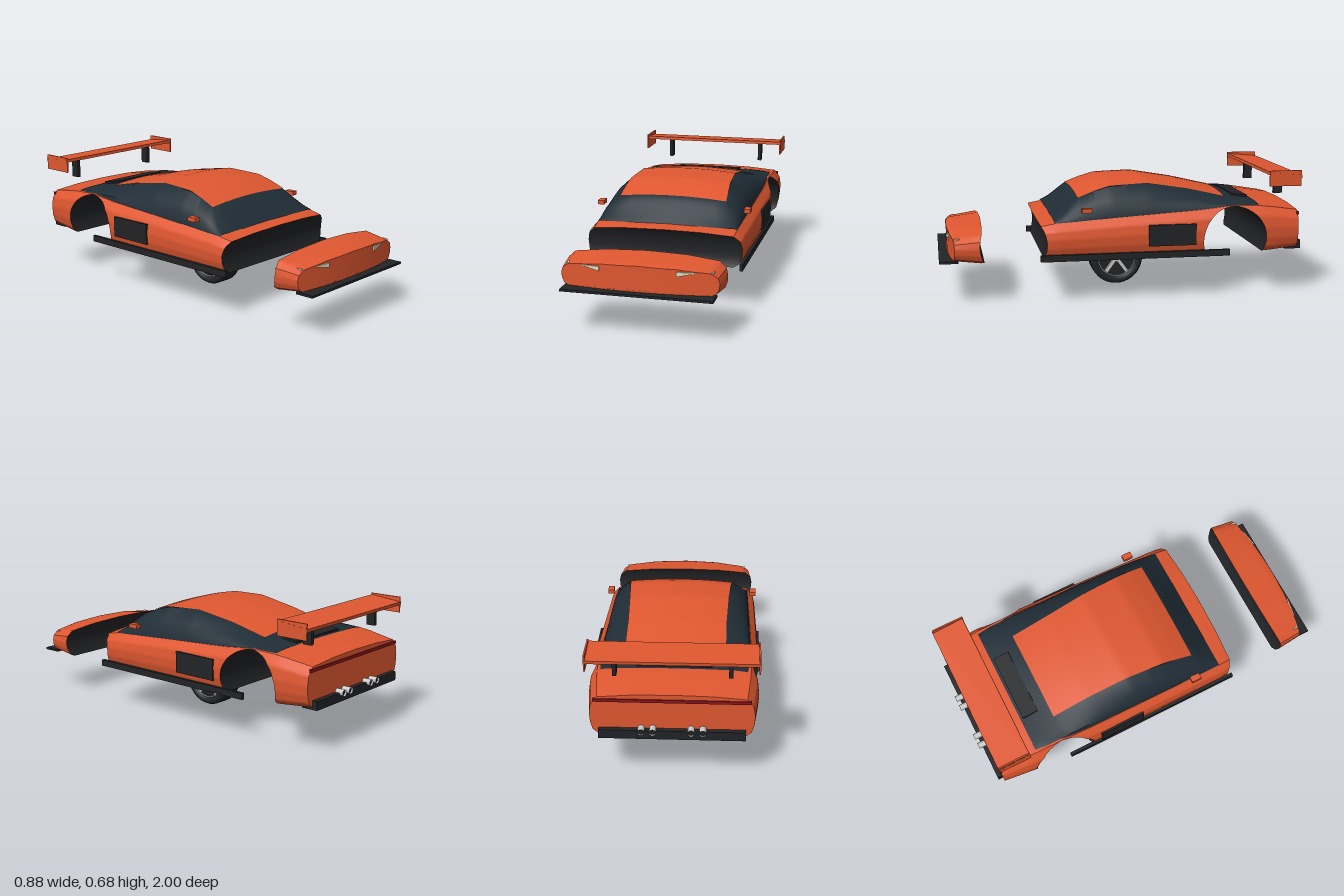
import * as THREE from 'three';
import { toCreasedNormals } from 'three/addons/utils/BufferGeometryUtils.js';

const mat = (color) => new THREE.MeshStandardMaterial({ color, side: THREE.DoubleSide });

// Linear lookup in rows of [z, ...values], ordered by falling z
function sample(rows, z) {
  let i = 0;
  while (i < rows.length - 2 && z < rows[i + 1][0]) i++;
  const a = rows[i], b = rows[i + 1];
  const t = THREE.MathUtils.clamp((z - a[0]) / (b[0] - a[0]), 0, 1);
  return a.slice(1).map((v, k) => v + (b[k + 1] - v) * t);
}

// Surface through a grid of points f(i, j)
function gridSurface(ni, nj, f, crease = 0.6) {
  const pos = [], idx = [];
  for (let i = 0; i <= ni; i++) for (let j = 0; j <= nj; j++) pos.push(...f(i, j));
  for (let i = 0; i < ni; i++) for (let j = 0; j < nj; j++) {
    const a = i * (nj + 1) + j, b = a + nj + 1;
    idx.push(a, b, a + 1, b, b + 1, a + 1);
  }
  const g = new THREE.BufferGeometry();
  g.setAttribute('position', new THREE.Float32BufferAttribute(pos, 3));
  g.setIndex(idx);
  return toCreasedNormals(g, crease);
}

// Body stations: z, half width, floor, shoulder, top
const BODY = [
  [0.955, 0.385, 0.245, 0.338, 0.37], [0.93, 0.405, 0.235, 0.348, 0.378], [0.78, 0.42, 0.22, 0.37, 0.393],
  [0.47, 0.422, 0.235, 0.405, 0.425], [0.39, 0.428, 0.235, 0.42, 0.432], [0, 0.433, 0.235, 0.447, 0.457],
  [-0.4, 0.437, 0.235, 0.472, 0.482], [-0.59, 0.435, 0.235, 0.492, 0.505], [-0.76, 0.432, 0.235, 0.485, 0.5],
  [-0.955, 0.41, 0.25, 0.455, 0.472],
];
const SUB = 5;
// Half outline from floor centre round to top centre
function bodyPoint(z, s) {
  const [w, yb, ys, yt] = sample(BODY, z), h = ys - yb;
  const p = [[0, yb], [0.9 * w, yb], [0.96 * w, yb + 0.1 * h], [0.99 * w, yb + 0.3 * h], [w, yb + 0.55 * h],
    [0.98 * w, yb + 0.8 * h], [0.9 * w, ys], [0.5 * w, ys + 0.75 * (yt - ys)], [0, yt]];
  const k = Math.min(Math.floor(s / SUB), p.length - 2), t = s / SUB - k;
  return [p[k][0] + (p[k + 1][0] - p[k][0]) * t, p[k][1] + (p[k + 1][1] - p[k][1]) * t];
}
const HALF = 8 * SUB;

// Wheel arch: the edge of a cylinder cut right across the car
const arch = (zc, side) => (x, y) => zc + side * Math.sqrt(Math.max(0, 0.176 ** 2 - (y - 0.31) ** 2));

function bodySection(name, frontEdge, backEdge, steps, frontMat, backMat, paint) {
  const group = new THREE.Group();
  group.name = name;
  const at = (t, s) => {
    let z = THREE.MathUtils.lerp(frontEdge(0.3, 0.31), backEdge(0.3, 0.31), t), x, y;
    for (let n = 0; n < 6; n++) {
      [x, y] = bodyPoint(z, s);
      z = THREE.MathUtils.lerp(frontEdge(x, y), backEdge(x, y), t);
    }
    return [x, y, z];
  };
  const add = (part, geo, m) => {
    const mesh = new THREE.Mesh(geo, m);
    mesh.name = part;
    group.add(mesh);
  };
  add(name + 'Shell', gridSurface(steps, 2 * HALF, (i, j) => {
    const [x, y, z] = at(i / steps, j <= HALF ? j : 2 * HALF - j);
    return [j <= HALF ? x : -x, y, z];
  }), paint);
  // End faces span from side to side
  [[0, frontMat, 'FrontFace'], [1, backMat, 'BackFace']].forEach(([t, m, part]) =>
    add(name + part, gridSurface(HALF, 8, (i, j) => {
      const [x, y] = at(t, i), k = (j / 4 - 1) * (t ? -1 : 1);
      const z = (t ? backEdge : frontEdge)(x * k, y);
      return [x * k, y, z];
    }), m));
  return group;
}

// Cabin stations: z, base half width, base height, roof half width, roof height
const CABIN = [
  [0.39, 0.385, 0.42, 0.375, 0.43], [0.26, 0.388, 0.425, 0.298, 0.55], [0.17, 0.388, 0.43, 0.292, 0.586],
  [0.08, 0.388, 0.437, 0.285, 0.613], [-0.13, 0.39, 0.45, 0.272, 0.621], [-0.36, 0.392, 0.463, 0.262, 0.583],
  [-0.57, 0.39, 0.483, 0.26, 0.534], [-0.66, 0.385, 0.487, 0.27, 0.514], [-0.735, 0.375, 0.485, 0.3, 0.502],
];
const roofY = (z, k) => { // crowned roof, k from -1 to 1 across
  const [, yb, , yt] = sample(CABIN, z);
  return yt - Math.min(0.016, (yt - yb) * 0.3) * k * k;
};
function cabinPoint(z, j) {
  const [wb, yb, wr] = sample(CABIN, z);
  if (j >= 3 && j <= 11) {
    const k = 1 - (j - 3) / 4;
    return [wr * k, roofY(z, k), z];
  }
  const side = j < 3 ? 1 : -1, n = j < 3 ? j : 14 - j, ye = roofY(z, 1);
  const [a, b] = [[0, 0], [0.08, 0.33], [0.35, 0.62]][n];
  return [side * (wb + (wr - wb) * a), yb + (ye - yb) * b, z];
}

export function createModel() {
  const car = new THREE.Group();
  car.name = 'car';
  const paint = mat(0xdf5730), black = mat(0x222326), glass = mat(0x202d36);
  const metal = mat(0xcccccc), lamp = mat(0xe6dcc0), red = mat(0x8c141c);
  const add = (name, geo, m, x = 0, y = 0, z = 0, parent = car) => {
    const mesh = new THREE.Mesh(geo, m);
    mesh.name = name;
    mesh.position.set(x, y, z);
    parent.add(mesh);
    return mesh;
  };
  const box = (name, m, w, h, d, x, y, z) => add(name, new THREE.BoxGeometry(w, h, d), m, x, y, z);

  // Body in three lengths, split by the wheel arches
  const noseEdge = (x) => 0.955 - 0.035 * (x / 0.4) ** 2;
  car.add(bodySection('nose', noseEdge, arch(0.61, 1), 8, paint, black, paint));
  car.add(bodySection('mainBody', arch(0.61, -1), arch(-0.59, 1), 20, black, black, paint));
  car.add(bodySection('tail', arch(-0.59, -1), () => -0.953, 8, black, paint, paint));

  // Glasshouse and painted roof panel
  const zs = (a, b, n) => (i) => a + (b - a) * i / n;
  const cz = zs(0.39, -0.735, 50), rz = zs(0.255, -0.57, 36);
  add('glasshouse', gridSurface(50, 14, (i, j) => cabinPoint(cz(i), j)), glass);
  add('roofPanel', gridSurface(36, 12, (i, j) => {
    const k = 1 - j / 6, z = rz(i);
    return [sample(CABIN, z)[2] * k, roofY(z, k) + 0.004, z];
  }), paint);
  box('rearLouvre', black, 0.38, 0.02, 0.09, 0, 0.509, -0.675).rotation.x = -0.12;

  // Aero parts
  box('splitter', black, 0.78, 0.012, 0.1, 0, 0.23, 0.95);
  box('rearDiffuser', black, 0.73, 0.048, 0.09, 0, 0.259, -0.935);
  box('tailLight', red, 0.78, 0.016, 0.012, 0, 0.438, -0.953);
  box('wingBlade', paint, 0.86, 0.017, 0.18, 0, 0.655, -0.868).rotation.x = -0.1;

  for (const s of [1, -1]) {
    box('wingEndPlate', paint, 0.008, 0.085, 0.178, s * 0.425, 0.638, -0.865);
    box('wingPost', black, 0.02, 0.11, 0.05, s * 0.287, 0.593, -0.865);
    box('sideSkirt', black, 0.018, 0.035, 1.03, s * 0.424, 0.241, -0.045);
    box('sideVent', black, 0.02, 0.115, 0.26, s * 0.43, 0.348, -0.24);
    box('mirror', paint, 0.034, 0.023, 0.055, s * 0.411, 0.491, 0.222);

    // Wedge headlights following the nose
    [[[0.197, 0.354], [0.303, 0.352], [0.197, 0.33], 0.956], [[0.345, 0.345], [0.375, 0.354], [0.375, 0.343], 0.947]]
      .forEach(([a, b, c, front]) => {
        const shape = new THREE.Shape([a, b, c].map(([x, y]) => new THREE.Vector2(s * x, y)));
        const g = new THREE.ExtrudeGeometry(shape, { depth: 0.03, bevelEnabled: false });
        const p = g.attributes.position;
        for (let i = 0; i < p.count; i++) p.setZ(i, p.getZ(i) + front - 0.03 - 0.16 * (Math.abs(p.getX(i)) - 0.2));
        g.computeVertexNormals();
        add('headlight', g, lamp);
      });

    // Twin exhausts
    for (const x of [0.095, 0.153]) {
      const pipe = add('exhaust', new THREE.CylinderGeometry(0.017, 0.017, 0.06, 16, 1, true), metal, s * x, 0.283, -0.97);
      pipe.rotation.x = Math.PI / 2;
      add('exhaustPlug', new THREE.CircleGeometry(0.016, 16), black, s * x, 0.283, -0.99);
    }
  }

  // Wheel, turned about the x axis
  const wheel = new THREE.Group();
  wheel.name = 'wheel';
  wheel.position.y = 0.15;
  const profile = [[0.106, -0.045], [0.108, -0.06], [0.13, -0.065], [0.143, -0.06], [0.15, -0.046],
    [0.15, 0.046], [0.143, 0.06], [0.13, 0.065], [0.108, 0.06], [0.106, 0.045]];
  const tyreGeo = new THREE.LatheGeometry(profile.map(([r, x]) => new THREE.Vector2(r, x)), 40);
  add('tyre', tyreGeo, black, 0, 0, 0, wheel).rotation.z = Math.PI / 2;
  add('rimBarrel', new THREE.CylinderGeometry(0.106, 0.106, 0.07, 40), black, 0, 0, 0, wheel).rotation.z = Math.PI / 2;
  for (const s of [1, -1]) {
    add('rimRing', new THREE.TorusGeometry(0.104, 0.004, 8, 40), metal, s * 0.056, 0, 0, wheel).rotation.y = Math.PI / 2;
    add('hub', new THREE.CylinderGeometry(0.022, 0.022, 0.03, 20), metal, s * 0.043, 0, 0, wheel).rotation.z = Math.PI / 2;
    for (let i = 0; i < 5; i++) {
      const a = i * Math.PI * 2 / 5;
      const spoke = add('spoke', new THREE.BoxGeometry(0.02, 0.09, 0.02), metal,
        s * 0.045, Math.cos(a) * 0.058, Math.sin(a) * 0.058, wheel);
      spoke.rotation.x = a;
    }
  }
  car.add(wheel);
  return car;
}
